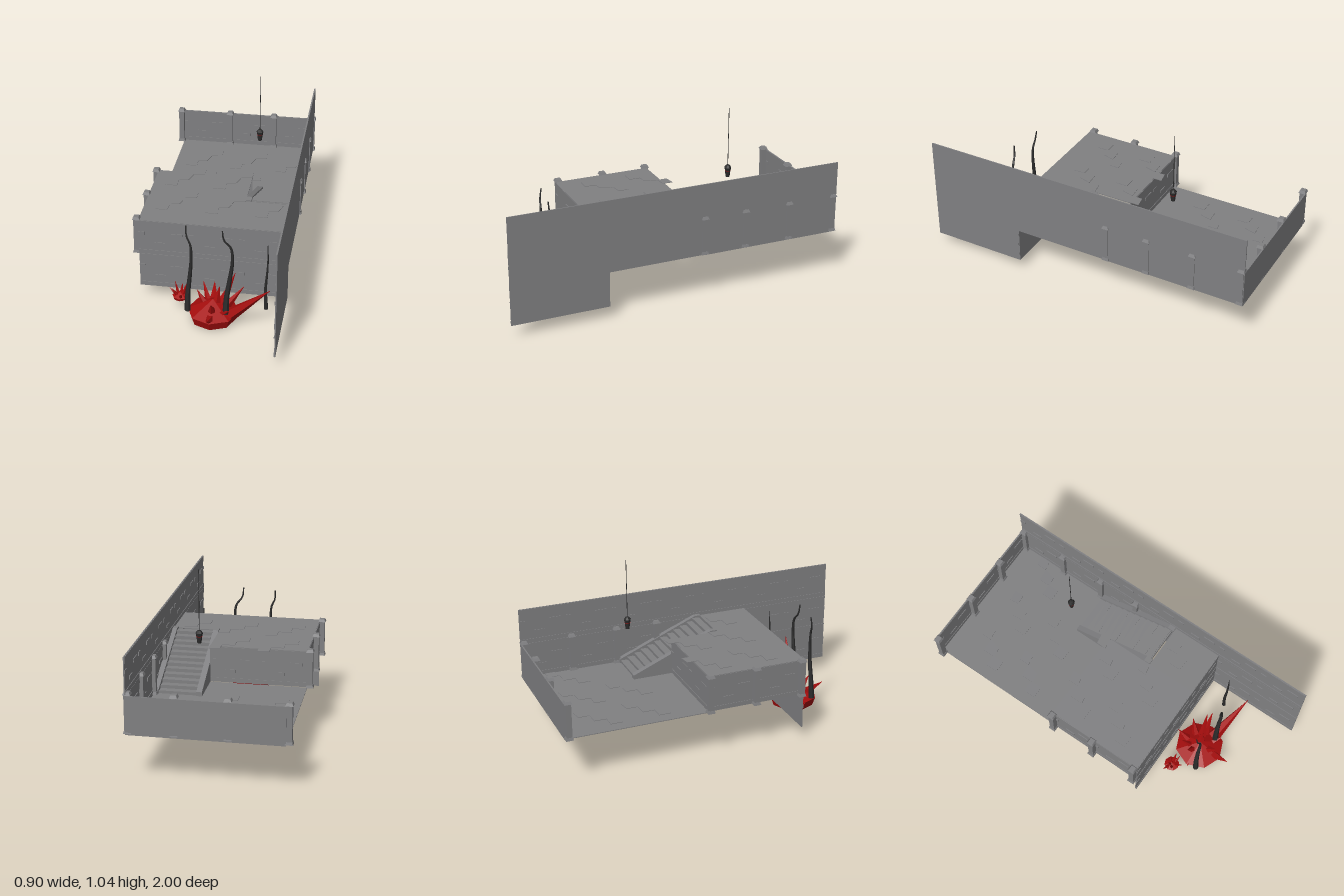
import * as THREE from 'three';

const mat = (color) => new THREE.MeshStandardMaterial({ color, flatShading: true, side: THREE.DoubleSide });
const stone = mat(0x808082), red = mat(0xa50d0d), dark = mat(0x2b2b2b);

const FLOOR = 0.28, DECK = 0.5, LEFT = -0.415, RIGHT = 0.435, BACK = -1, MID = -0.16, FRONT = 0.43;
const ROW = 0.215, CELL = 0.285;

function add(parent, name, geometry, material, x = 0, y = 0, z = 0) {
  const mesh = new THREE.Mesh(geometry, material);
  mesh.name = name;
  mesh.position.set(x, y, z);
  parent.add(mesh);
  return mesh;
}

// Box given by its lower and upper corners
function block(parent, name, x0, x1, y0, y1, z0, z1, material = stone) {
  return add(parent, name, new THREE.BoxGeometry(x1 - x0, y1 - y0, z1 - z0), material,
    (x0 + x1) / 2, (y0 + y1) / 2, (z0 + z1) / 2);
}

// Thin masonry wall facing local +z, centred on x, standing on local y = 0
function wall(parent, name, length, rows, x, y, z, turn) {
  const g = new THREE.Group();
  g.name = name;
  const h = length / 2;
  block(g, 'wallSlab', -h, h, 0, rows * ROW, -0.006, 0);
  for (let r = 0; r < rows; r++) {
    const y0 = r * ROW;
    block(g, 'lowerCourse', -h, h, y0, y0 + 0.026, 0, 0.003);
    block(g, 'upperCourse', -h, h, y0 + 0.178, y0 + ROW - 0.002, 0, 0.003);
    for (let c = -h; c < h; c += CELL) {
      const brick = (a, b, low, high) => {
        const end = Math.min(c + b, h);
        if (end > c + a) block(g, 'brick', c + a, end, y0 + low, y0 + high, 0, 0.004);
      };
      brick(0, 0.035, 0.122, 0.142);
      brick(0.178, 0.25, 0.122, 0.142);
      brick(0.09, 0.15, 0.06, 0.078);
    }
  }
  g.position.set(x, y, z);
  g.rotation.y = turn;
  parent.add(g);
}

// Square post with flared foot and cap
function pillar(parent, x, z) {
  const g = new THREE.Group();
  g.name = 'pillar';
  block(g, 'shaft', -0.016, 0.016, 0.004, 0.225, -0.016, 0.016);
  for (const [name, y, top, bottom] of [['foot', 0.011, 0.025, 0.031], ['cap', 0.226, 0.021, 0.031]]) {
    const flare = new THREE.CylinderGeometry(top, bottom, 0.016, 4).rotateY(Math.PI / 4);
    add(g, name, flare, stone, 0, y, 0);
  }
  g.position.set(x, FLOOR, z);
  parent.add(g);
}

// Raised paving stones repeated over a floor
function paving(parent, y, zStart, rows) {
  const slab = (pts) => new THREE.ExtrudeGeometry(
    new THREE.Shape(pts.map(([x, z]) => new THREE.Vector2(x, -z))),
    { depth: 0.003, bevelEnabled: false }).rotateX(-Math.PI / 2);
  const large = slab([[0, 0], [0.07, 0], [0.07, -0.07], [0.145, -0.075], [0.125, -0.005], [0.07, 0.005], [0.07, 0.07], [0, 0.07]]);
  const small = slab([[0.145, -0.14], [0.21, -0.15], [0.21, -0.09], [0.145, -0.08]]);
  for (let r = 0; r < rows; r++) for (let c = 0; c < 3; c++) {
    const x = -0.345 + c * CELL, z = zStart + r * CELL;
    const onStairs = c === 2 && z > -0.45 && z < 0.14;
    const beyond = z > 0.35;
    if (onStairs) continue;
    add(parent, 'pavingStone', large, stone, x, y, beyond ? 0.355 : z);
    if (!(c === 2 && z < 0.3 && z > 0)) add(parent, 'smallPavingStone', small, stone, x, y, z);
  }
}

// Faceted spike running from a base point to its tip
function spike(parent, from, to, radius) {
  const a = new THREE.Vector3(...from), dir = new THREE.Vector3(...to).sub(a);
  const len = dir.length();
  const geo = new THREE.CylinderGeometry(0.001, radius, len, 5).translate(0, len / 2, 0);
  const m = add(parent, 'crystalSpike', geo, red, ...from);
  m.quaternion.setFromUnitVectors(new THREE.Vector3(0, 1, 0), dir.normalize());
}

// Crystal cluster: flared faceted root and spikes [tipX, tipY, tipZ, radius]
function crystals(parent, name, [x, y, z], size, tips) {
  const g = new THREE.Group();
  g.name = name;
  add(g, 'crystalRoot', new THREE.CylinderGeometry(size, size * 0.88, size * 0.35, 8), red, x, y + size * 0.175, z);
  add(g, 'crystalMound', new THREE.ConeGeometry(size, size * 0.5, 8), red, x, y + size * 0.6, z);
  for (const [tx, ty, tz, r] of tips) {
    spike(g, [x + (tx - x) * 0.25, y + size * 0.25, z + (tz - z) * 0.3], [tx, ty, tz], r);
  }
  parent.add(g);
}

// Tapering curved stem
function tendril(parent, points, radius) {
  const path = new THREE.CatmullRomCurve3(points.map((p) => new THREE.Vector3(...p)));
  const rings = 24, sides = 6;
  const geo = new THREE.TubeGeometry(path, rings, radius, sides);
  const pos = geo.attributes.position, v = new THREE.Vector3();
  for (let i = 0; i < pos.count; i++) {
    const t = Math.floor(i / (sides + 1)) / rings;
    const centre = path.getPointAt(t);
    v.fromBufferAttribute(pos, i).sub(centre).multiplyScalar(1 - 0.8 * t).add(centre);
    pos.setXYZ(i, v.x, v.y, v.z);
  }
  add(parent, 'tendril', geo, dark);
}

export function createModel() {
  const model = new THREE.Group();
  model.name = 'dungeonRoom';

  // Floors: lower court and hollow upper deck with a stair notch
  block(model, 'lowerFloor', LEFT, RIGHT, FLOOR - 0.004, FLOOR, BACK, MID);
  block(model, 'upperDeck', LEFT, 0.15, DECK - 0.005, DECK, MID, FRONT);
  block(model, 'upperDeckBesideStairs', 0.15, RIGHT, DECK - 0.005, DECK, 0.13, FRONT);
  paving(model, FLOOR, -0.715, 2);
  paving(model, DECK, -0.06, 2);

  // Walls
  const width = RIGHT - LEFT, cx = (RIGHT + LEFT) / 2;
  wall(model, 'backWall', width, 1, cx, FLOOR, BACK + 0.006, 0);
  wall(model, 'frontWall', width, 2, cx, 0.07, FRONT, 0);
  wall(model, 'deckRiser', 0.15 - LEFT, 1, (0.15 + LEFT) / 2, FLOOR + 0.004, MID, Math.PI);
  wall(model, 'deckSideWall', FRONT - MID, 1, LEFT, FLOOR + 0.004, (FRONT + MID) / 2, -Math.PI / 2);
  wall(model, 'longWall', 2, 2, RIGHT - 0.005, FLOOR, 0, -Math.PI / 2);
  wall(model, 'longWallLowerEnd', 1 - FRONT, 1, RIGHT - 0.005, 0.07, (1 + FRONT) / 2, -Math.PI / 2);

  // Pillars
  for (const x of [-0.43, -0.11, 0.175, 0.425]) pillar(model, x, -0.98);
  for (const z of [-0.69, -0.41, -0.155]) pillar(model, 0.425, z);
  for (const z of [-0.155, 0.125, 0.41]) pillar(model, -0.43, z);

  // Staircase: two solid stringers with treads between them
  const stairs = new THREE.Group();
  stairs.name = 'staircase';
  const side = new THREE.Shape([[-0.4, FLOOR], [0.13, FLOOR], [0.13, DECK + 0.01], [0.09, DECK + 0.01], [-0.4, FLOOR + 0.025]]
    .map(([z, y]) => new THREE.Vector2(-z, y)));
  const stringer = new THREE.ExtrudeGeometry(side, { depth: 0.033, bevelEnabled: false }).rotateY(Math.PI / 2);
  for (const x of [0.15, 0.4]) add(stairs, 'stringer', stringer, stone, x, 0, 0);
  const steps = 12, run = 0.51 / steps;
  for (let i = 0; i < steps; i++) {
    const z = -0.395 + i * run, top = FLOOR + (i + 1) * (DECK - FLOOR) / steps;
    block(stairs, 'riser', 0.183, 0.4, top - 0.022, top - 0.004, z + 0.004, z + run + 0.004);
    const tread = block(stairs, 'tread', 0.185, 0.398, top - 0.007, top, z, z + run - 0.003);
    tread.rotation.y = 0.02 * Math.sin(i * 2.3);
  }
  model.add(stairs);

  // Hanging lantern
  const lantern = new THREE.Group();
  lantern.name = 'hangingLantern';
  add(lantern, 'cord', new THREE.CylinderGeometry(0.002, 0.002, 0.35, 6), dark, 0, 0.855, 0);
  const profile = [[0, 0.61], [0.012, 0.61], [0.0165, 0.646], [0.021, 0.668], [0.011, 0.682], [0, 0.683]];
  add(lantern, 'lanternBody', new THREE.LatheGeometry(profile.map(([r, y]) => new THREE.Vector2(r, y)), 8), dark);
  add(lantern, 'glowBand', new THREE.CylinderGeometry(0.0178, 0.0172, 0.003, 8), red, 0, 0.648, 0);
  lantern.position.set(0.155, 0, -0.43);
  model.add(lantern);

  // Crystals
  crystals(model, 'largeCrystals', [0.035, 0, 0.59], 0.145, [
    [0.367, 0.285, 0.7, 0.042], [0.155, 0.285, 0.55, 0.034], [0.205, 0.205, 0.56, 0.034],
    [0.07, 0.205, 0.58, 0.04], [0.04, 0.155, 0.7, 0.038], [-0.06, 0.155, 0.56, 0.034],
    [-0.035, 0.18, 0.5, 0.028], [0.03, 0.1, 0.79, 0.035], [-0.115, 0.05, 0.6, 0.045],
    [0.02, 0.14, 0.44, 0.035], [0.12, 0.17, 0.48, 0.035], [0.135, 0.11, 0.68, 0.035],
  ]);
  crystals(model, 'smallCrystals', [-0.165, 0.065, 0.52], 0.045, [
    [-0.12, 0.18, 0.52, 0.014], [-0.155, 0.15, 0.5, 0.014], [-0.195, 0.165, 0.51, 0.013],
    [-0.23, 0.115, 0.5, 0.014], [-0.205, 0.13, 0.54, 0.013], [-0.15, 0.125, 0.58, 0.014], [-0.11, 0.12, 0.54, 0.013],
  ]);

  // Tendrils
  tendril(model, [[-0.1, 0.075, 0.65], [-0.098, 0.18, 0.645], [-0.086, 0.3, 0.64], [-0.077, 0.42, 0.64], [-0.082, 0.5, 0.64], [-0.103, 0.55, 0.635], [-0.107, 0.61, 0.625]], 0.017);
  tendril(model, [[0.115, 0.075, 0.65], [0.12, 0.18, 0.645], [0.137, 0.3, 0.64], [0.151, 0.42, 0.64], [0.142, 0.5, 0.64], [0.106, 0.55, 0.65], [0.098, 0.61, 0.655]], 0.018);
  tendril(model, [[0.332, 0.075, 0.57], [0.326, 0.2, 0.568], [0.333, 0.3, 0.57], [0.337, 0.38, 0.57], [0.336, 0.49, 0.568]], 0.012);

  return model;
}
